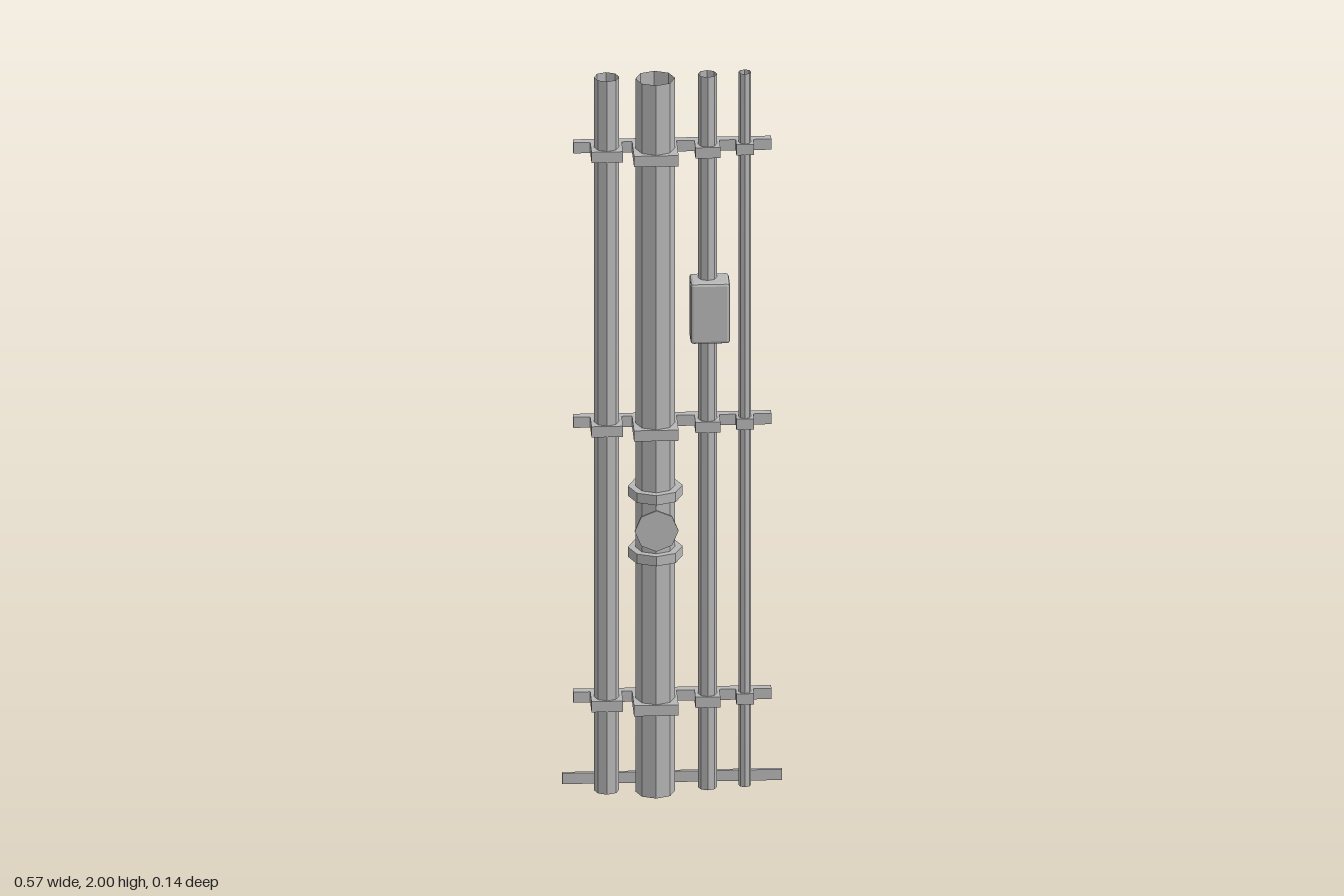
import * as THREE from 'three';
import { RoundedBoxGeometry } from 'three/addons/geometries/RoundedBoxGeometry.js';

export function createModel() {
  const root = new THREE.Group();
  root.name = 'pipeRack';
  const grey = new THREE.MeshStandardMaterial({ color: 0xb8b8b8, flatShading: true, side: THREE.DoubleSide });
  grey.name = 'pipe grey';

  const add = (name, geometry, x, y, z) => {
    const mesh = new THREE.Mesh(geometry, grey);
    mesh.name = name;
    mesh.position.set(x, y, z);
    root.add(mesh);
    return mesh;
  };
  // box given by its limits in x and z, and its centre height
  const bar = (name, x0, x1, z0, z1, y, h) =>
    add(name, new THREE.BoxGeometry(x1 - x0, h, z1 - z0), (x0 + x1) / 2, y, (z0 + z1) / 2);

  const railFront = -0.048, railBack = -0.071, railHeight = 0.03;
  const railLevels = [0.248, 1.019, 1.789];

  // open octagonal pipes: centre x, centre z, radius, clamp half width, clamp front
  const pipes = [
    { name: 'mediumPipe', x: -0.173, z: -0.015, r: 0.033, half: 0.041, front: 0.021 },
    { name: 'mainPipe', x: -0.047, z: 0, r: 0.0515, half: 0.058, front: 0.055 },
    { name: 'smallPipe', x: 0.09, z: -0.024, r: 0.025, half: 0.0325, front: 0.004 },
    { name: 'thinPipe', x: 0.188, z: -0.0325, r: 0.0165, half: 0.023, front: -0.013 },
  ];
  for (const p of pipes) {
    add(p.name, new THREE.CylinderGeometry(p.r, p.r, 2, 8, 1, true), p.x, 1, p.z);
    for (const y of railLevels) {
      bar(p.name + 'Clamp', p.x - p.half, p.x + p.half, railFront, p.front, y, railHeight);
    }
  }

  // wall rails and the foot strip
  for (const y of railLevels) bar('rail', -0.258, 0.258, railBack, railFront, y, railHeight);
  bar('footStrip', -0.286, 0.286, railBack, -0.061, 0.015, 0.03);

  // valve on the main pipe: two flanges, stem and handwheel
  const valveX = -0.047, valveY = 0.758;
  for (const y of [0.673, 0.844]) {
    add('valveFlange', new THREE.CylinderGeometry(0.0715, 0.0715, 0.027, 8), valveX, y, 0);
  }
  add('valveStem', new THREE.CylinderGeometry(0.012, 0.012, 0.03, 8), valveX, valveY, 0.053)
    .rotation.x = Math.PI / 2;
  add('valveHandwheel', new THREE.CylinderGeometry(0.057, 0.057, 0.007, 8), valveX, valveY, 0.069)
    .rotation.x = Math.PI / 2;

  // chamfered junction box on the small pipe
  add('junctionBox', new RoundedBoxGeometry(0.103, 0.17, 0.081, 1, 0.008), 0.0955, 1.345, -0.015);

  return root;
}
